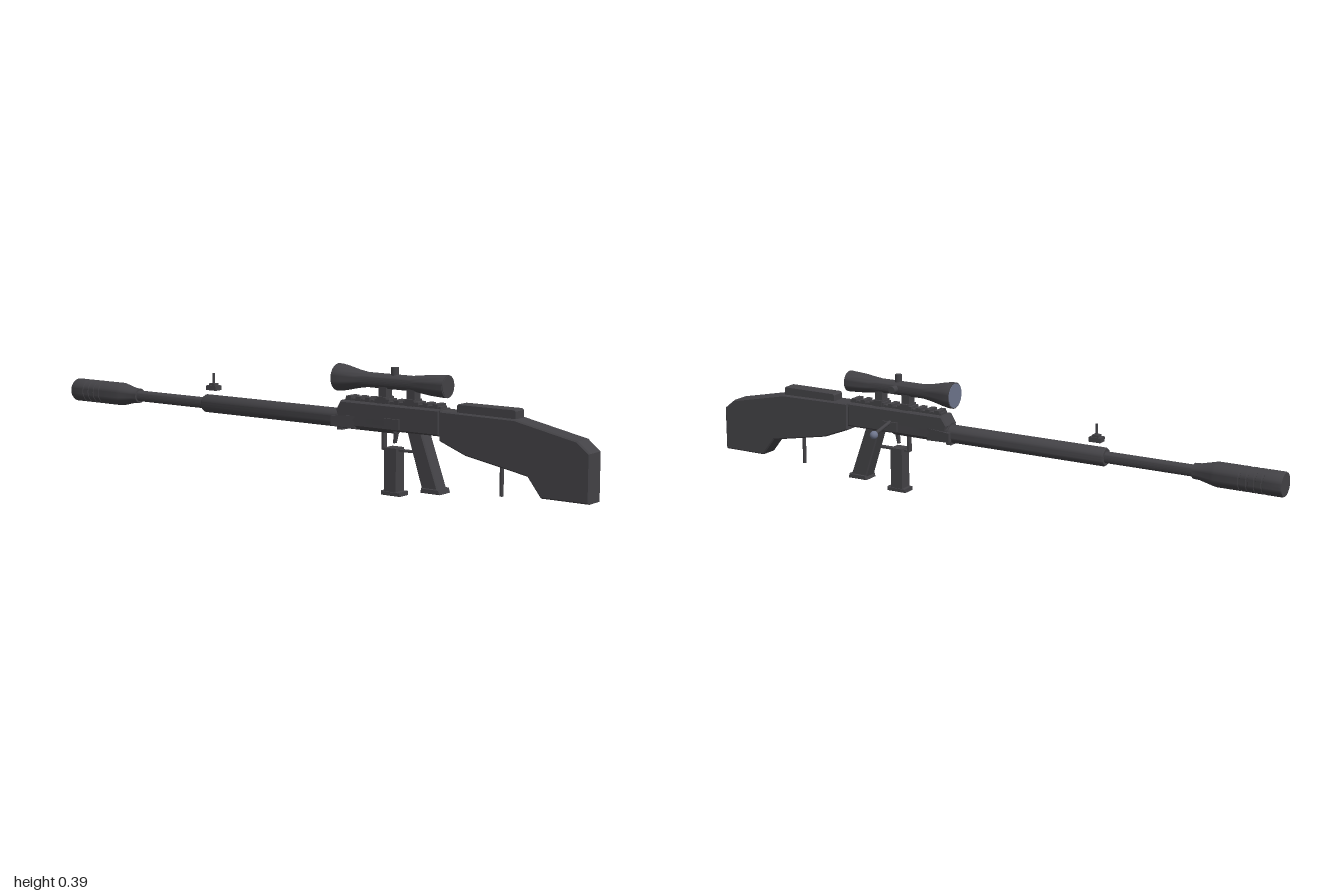
import * as THREE from 'three';
import { toCreasedNormals } from 'three/addons/utils/BufferGeometryUtils.js';

export function createModel() {
  const model = new THREE.Group();
  const gun = new THREE.Group();
  gun.name = 'rifle';
  gun.position.x = -0.05;
  model.add(gun);

  const mat = (name, color) => {
    const m = new THREE.MeshStandardMaterial({ color });
    m.name = name;
    return m;
  };
  const dark = mat('gunmetal', 0x434246);
  const steel = mat('blueSteel', 0x6e758c);

  const add = (name, geo, material = dark) => {
    const mesh = new THREE.Mesh(geo, material);
    mesh.name = name;
    gun.add(mesh);
    return mesh;
  };
  // box from its limits; x is centred on the bore unless shifted
  const box = (name, w, y0, y1, z0, z1, x = 0) => {
    const m = add(name, new THREE.BoxGeometry(w, y1 - y0, z1 - z0));
    m.position.set(x, (y0 + y1) / 2, (z0 + z1) / 2);
    return m;
  };
  // side outline of [z, y] points, extruded across x with a small chamfer
  const slab = (name, pts, width, bevel = 0.003) => {
    const shape = new THREE.Shape(pts.map(([z, y]) => new THREE.Vector2(z, y)));
    const depth = width - 2 * bevel;
    const geo = new THREE.ExtrudeGeometry(shape, {
      depth, bevelEnabled: bevel > 0, bevelThickness: bevel,
      bevelSize: bevel, bevelOffset: -bevel, bevelSegments: 1,
    });
    geo.translate(0, 0, -depth / 2).rotateY(-Math.PI / 2);
    return add(name, geo);
  };
  // round part along z from [radius, z] points in rising z
  const turned = (name, pts, y, sides = 24) => {
    const geo = new THREE.LatheGeometry(pts.map(([r, z]) => new THREE.Vector2(r, z)), sides);
    const m = add(name, toCreasedNormals(geo.rotateX(Math.PI / 2), 0.6));
    m.position.y = y;
    return m;
  };
  // round bar between two points
  const bar = (name, a, b, r, sides = 12) => {
    const from = new THREE.Vector3(...a), to = new THREE.Vector3(...b);
    const dir = to.clone().sub(from);
    const m = add(name, new THREE.CylinderGeometry(r, r, dir.length(), sides));
    m.position.copy(from).add(to).multiplyScalar(0.5);
    m.quaternion.setFromUnitVectors(new THREE.Vector3(0, 1, 0), dir.normalize());
    return m;
  };

  // stock, cheek rest and rear support rod
  slab('stock', [[0.5, 0.187], [0.59, 0.152], [0.8, 0.113], [0.845, 0.055], [1, 0.055],
    [1, 0.198], [0.96, 0.23], [0.755, 0.273], [0.5, 0.276]], 0.066, 0.004);
  slab('cheekRest', [[0.555, 0.27], [0.755, 0.27], [0.755, 0.295], [0.75, 0.3],
    [0.56, 0.3], [0.555, 0.295]], 0.046, 0.002);
  bar('supportRod', [0, 0.145, 0.697], [0, 0.04, 0.697], 0.006);

  // receiver with its side housing and flared front collar
  slab('receiver', [[0.135, 0.2], [0.5, 0.2], [0.5, 0.279], [0.14, 0.279], [0.122, 0.25]], 0.064, 0.005);
  turned('chamber', [[0, 0.12], [0.033, 0.12], [0.033, 0.33], [0, 0.33]], 0.222);
  box('boltHousing', 0.076, 0.207, 0.238, 0.305, 0.36);
  const collar = new THREE.BoxGeometry(1, 1, 0.085);
  const cp = collar.attributes.position;
  for (let i = 0; i < cp.count; i++) {
    const front = cp.getZ(i) < 0;
    cp.setXY(i, cp.getX(i) * (front ? 0.08 : 0.064), cp.getY(i) * (front ? 0.03 : 0.04));
  }
  collar.computeVertexNormals();
  add('collar', collar).position.set(0, 0.215, 0.152);
  box('collarLug', 0.03, 0.185, 0.2, 0.115, 0.135);

  // barrel, shroud and muzzle can with shallow grooves
  turned('shroud', [[0, -0.425], [0.026, -0.425], [0.029, -0.42], [0.029, 0.13], [0, 0.13]], 0.22);
  turned('barrel', [[0, -0.74], [0.018, -0.74], [0.018, -0.41], [0, -0.41]], 0.22);
  const can = [[0, -1], [0.036, -1], [0.038, -0.996]];
  for (let i = 0; i < 4; i++) {
    const z = -0.945 + i * 0.024;
    can.push([0.038, z], [0.036, z + 0.001], [0.036, z + 0.006], [0.038, z + 0.007]);
  }
  can.push([0.038, -0.79], [0.036, -0.78], [0.025, -0.735], [0.024, -0.715], [0, -0.715]);
  turned('muzzleCan', can, 0.22);

  // front sight
  box('sightBase', 0.03, 0.265, 0.28, -0.411, -0.371);
  box('sightStep', 0.022, 0.28, 0.287, -0.402, -0.38);
  bar('sightPost', [0, 0.285, -0.391], [0, 0.32, -0.391], 0.004);

  // top rail with cross teeth
  box('rail', 0.036, 0.275, 0.286, 0.15, 0.495);
  for (let i = 0; i < 10; i++) {
    const z = 0.155 + i * 0.035;
    box('railTooth', 0.044, 0.282, 0.293, z, z + 0.018);
  }

  // scope, mounts, turrets and lenses
  const sy = 0.345;
  turned('scope', [[0, 0.11], [0.042, 0.11], [0.042, 0.122], [0.038, 0.145], [0.028, 0.19],
    [0.023, 0.222], [0.023, 0.385], [0.027, 0.42], [0.031, 0.45], [0.034, 0.5],
    [0.034, 0.509], [0, 0.509]], sy, 28);
  for (const z of [0.285, 0.387]) {
    box('mountBase', 0.046, 0.277, 0.299, z - 0.016, z + 0.016);
    box('mountNeck', 0.032, 0.295, 0.33, z - 0.014, z + 0.014);
  }
  bar('topTurret', [0, sy, 0.32], [0, 0.389, 0.32], 0.012, 16);
  bar('sideTurret', [0, sy, 0.32], [0.043, sy, 0.32], 0.012, 16);
  const lens = add('frontLens', new THREE.CylinderGeometry(0.039, 0.039, 0.002, 28).rotateX(Math.PI / 2), steel);
  lens.position.set(0, sy, 0.1095);
  const eye = add('eyepieceLens', new THREE.CylinderGeometry(0.03, 0.03, 0.002, 28).rotateX(Math.PI / 2));
  eye.position.set(0, sy, 0.5095);

  // bolt handle with ball knob
  bar('boltHandle', [0.025, 0.237, 0.335], [0.125, 0.216, 0.335], 0.006);
  add('boltKnob', new THREE.SphereGeometry(0.0135, 18, 12), steel).position.set(0.125, 0.215, 0.335);

  // raked grip with base plate
  slab('grip', [[0.435, 0.035], [0.493, 0.035], [0.432, 0.205], [0.38, 0.205]], 0.05, 0.004);
  slab('gripBase', [[0.432, 0.025], [0.502, 0.025], [0.498, 0.04], [0.436, 0.04]], 0.058, 0.002);

  // magazine
  box('magazine', 0.044, 0.01, 0.147, 0.297, 0.34);
  slab('magazineBase', [[0.285, 0.002], [0.355, 0.002], [0.355, 0.015], [0.285, 0.015]], 0.046, 0.002);

  // trigger and guard
  box('guardBottom', 0.018, 0.137, 0.143, 0.278, 0.39);
  box('guardFront', 0.018, 0.137, 0.205, 0.278, 0.285);
  slab('trigger', [[0.318, 0.16], [0.324, 0.16], [0.335, 0.205], [0.322, 0.205]], 0.012, 0);

  return model;
}
